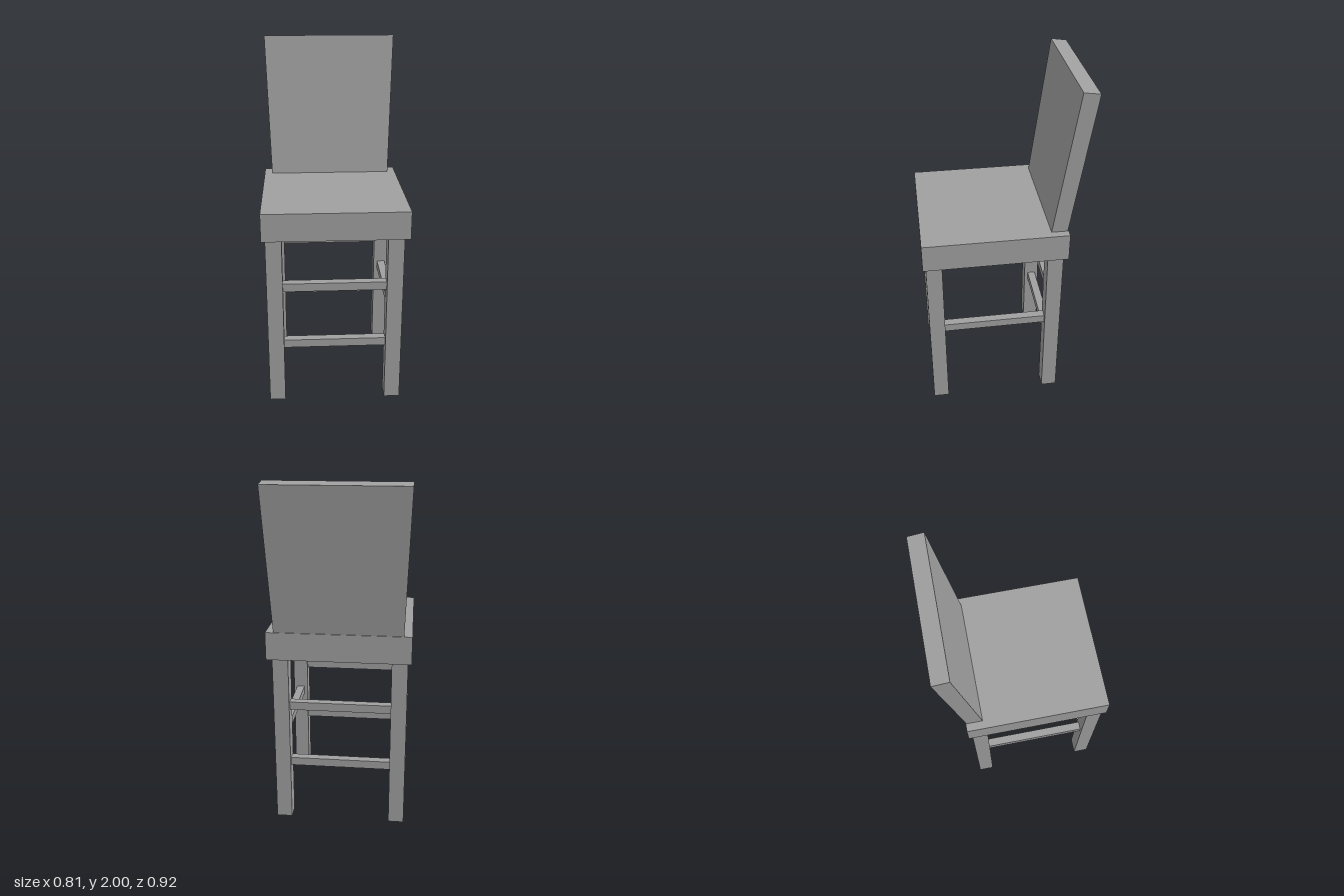
import * as THREE from 'three';

export function createModel() {
  const chair = new THREE.Group();
  chair.name = 'chair';
  const grey = new THREE.MeshStandardMaterial({ color: 0xa0a0a0 });
  grey.name = 'grey';

  // Box given by its limits on each axis
  function box(name, [x0, x1], [y0, y1], [z0, z1]) {
    const mesh = new THREE.Mesh(new THREE.BoxGeometry(x1 - x0, y1 - y0, z1 - z0), grey);
    mesh.position.set((x0 + x1) / 2, (y0 + y1) / 2, (z0 + z1) / 2);
    mesh.name = name;
    chair.add(mesh);
  }

  const seatBottom = 1.015, seatTop = 1.175;
  box('seat', [-0.406, 0.406], [seatBottom, seatTop], [-0.353, 0.461]);

  // Legs
  const legX = { right: [-0.386, -0.296], left: [0.286, 0.376] };
  const legZ = { front: [0.354, 0.444], back: [-0.33, -0.24] };
  for (const side in legX)
    for (const end in legZ)
      box(`${end} ${side} leg`, legX[side], [0, seatBottom], legZ[end]);

  // Rungs, centred on the legs they join
  const bar = (c) => [c - 0.024, c + 0.024];
  const middle = ([a, b]) => bar((a + b) / 2);
  for (const end in legZ) {
    for (const [level, y] of [['upper', 0.72], ['lower', 0.362]])
      box(`${level} ${end} rung`, [legX.right[1], legX.left[0]], bar(y), middle(legZ[end]));
  }
  for (const side in legX)
    box(`${side} side rung`, middle(legX[side]), bar(0.542), [legZ.back[1], legZ.front[0]]);

  // Leaning backrest, wider at the top, with its foot sunk into the seat
  const lean = Math.atan2(0.115, 0.825), height = 0.833, sink = 0.06, depth = 0.09;
  const outline = new THREE.Shape([
    new THREE.Vector2(-0.358, -sink),
    new THREE.Vector2(0.358, -sink),
    new THREE.Vector2(0.388, height),
    new THREE.Vector2(-0.388, height),
  ]);
  const panel = new THREE.ExtrudeGeometry(outline, { depth, bevelEnabled: false });
  panel.translate(0, 0, -depth);
  const backrest = new THREE.Mesh(panel, grey);
  backrest.rotation.x = -lean;
  backrest.position.set(0, seatTop, -0.257);
  backrest.name = 'backrest';
  chair.add(backrest);

  return chair;
}
